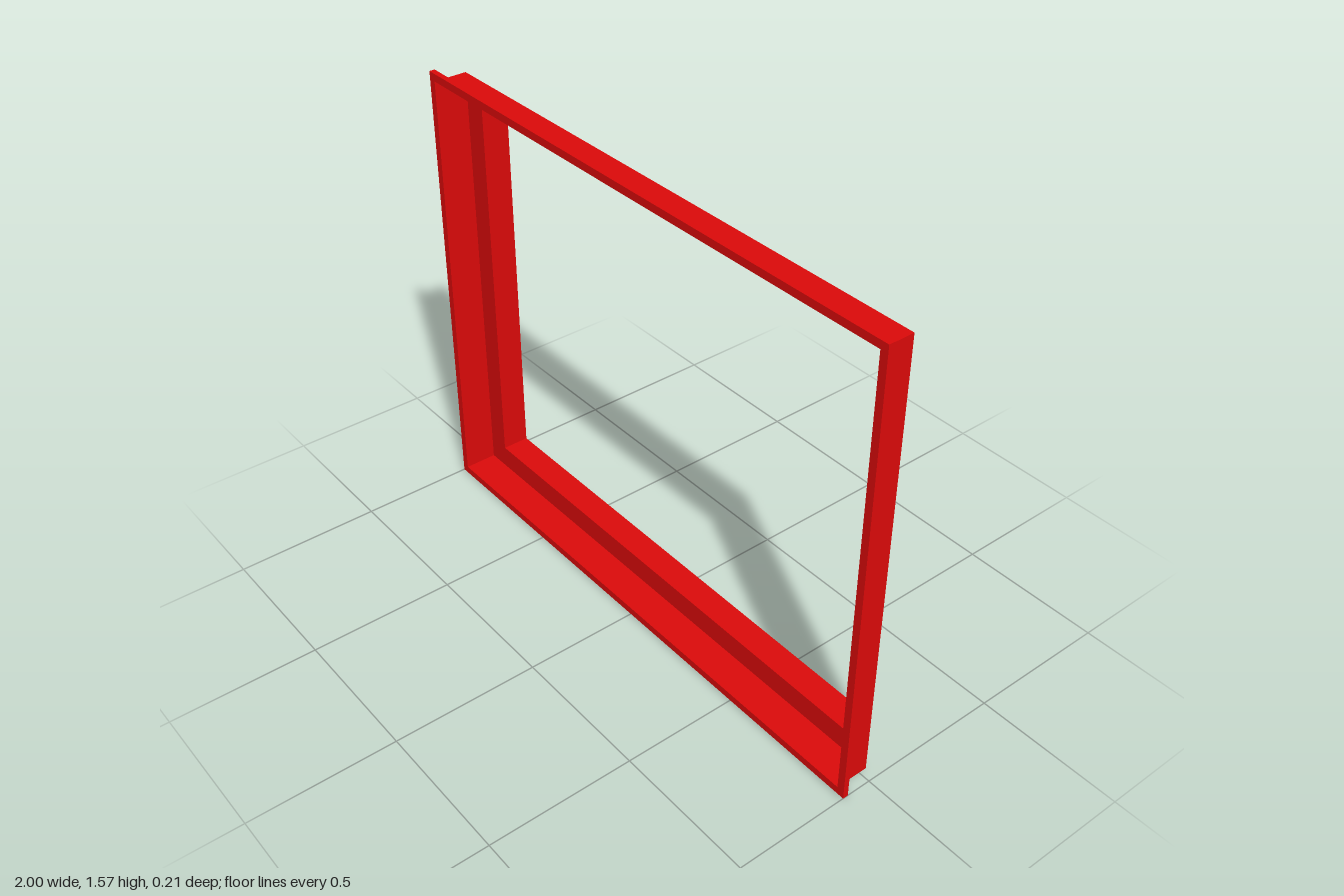
import * as THREE from 'three';

const WIDTH = 2, HEIGHT = 1.57;
const material = new THREE.MeshStandardMaterial({ color: 0xdd0a0a, flatShading: true, side: THREE.DoubleSide });

// Corners of the frame outline moved inwards by inset, counter-clockwise from the front
function corners(inset) {
  const x = WIDTH / 2 - inset, low = inset, high = HEIGHT - inset;
  return [[-x, low], [x, low], [x, high], [-x, high]];
}

// Sweeps a profile of [inset, z] points around the rectangle with mitred corners
function sweepFrame(name, profile) {
  const positions = [];
  for (let i = 0; i < profile.length - 1; i++) {
    const [insetA, zA] = profile[i], [insetB, zB] = profile[i + 1];
    const ringA = corners(insetA), ringB = corners(insetB);
    for (let j = 0; j < 4; j++) {
      const k = (j + 1) % 4;
      const a = [...ringA[j], zA], b = [...ringA[k], zA];
      const c = [...ringB[k], zB], d = [...ringB[j], zB];
      positions.push(...a, ...b, ...c, ...a, ...c, ...d);
    }
  }
  const geometry = new THREE.BufferGeometry();
  geometry.setAttribute('position', new THREE.Float32BufferAttribute(positions, 3));
  geometry.computeVertexNormals();
  const mesh = new THREE.Mesh(geometry, material);
  mesh.name = name;
  return mesh;
}

export function createModel() {
  const group = new THREE.Group();
  group.name = 'steppedFrame';

  const lip = 0.026, step = 0.107;
  const front = 0.105, lipBack = 0.086, middle = -0.01, back = -0.105;

  // Thin lip around the front edge
  group.add(sweepFrame('frontLip', [[lip, lipBack], [0, lipBack], [0, front], [lip, front]]));
  // Outer sleeve behind the lip
  group.add(sweepFrame('outerSleeve', [[lip, middle], [lip, front]]));
  // Flat ledge between the two sleeves
  group.add(sweepFrame('stepLedge', [[lip, middle], [step, middle]]));
  // Smaller sleeve at the rear
  group.add(sweepFrame('rearSleeve', [[step, back], [step, middle]]));

  return group;
}
